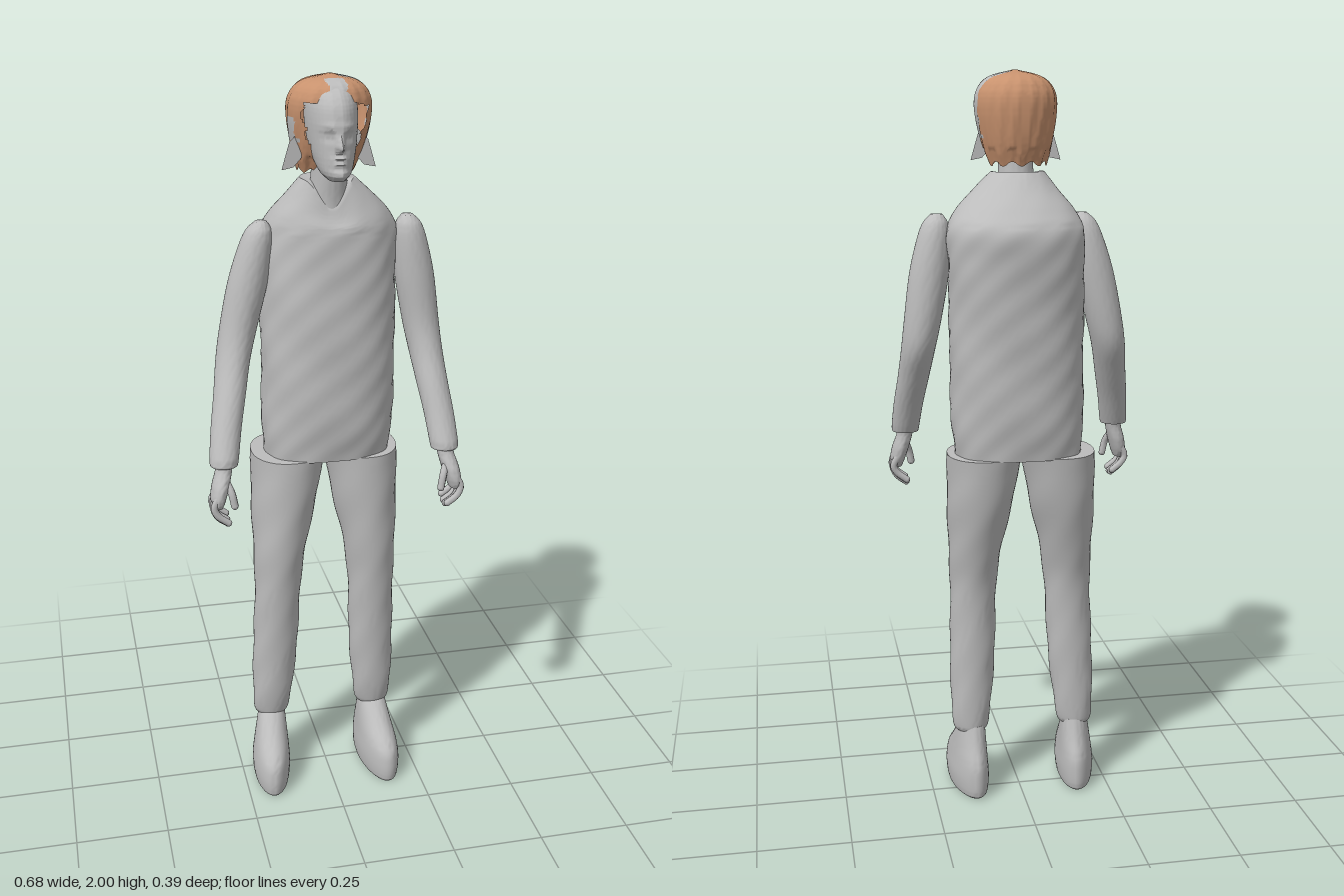
import * as THREE from 'three';
import { toCreasedNormals } from 'three/addons/utils/BufferGeometryUtils.js';

const mat = (name, color, side = THREE.FrontSide) => {
  const m = new THREE.MeshStandardMaterial({ color, side });
  m.name = name;
  return m;
};

// Loft through horizontal rings, listed bottom to top: [y, cx, cz, rx, rz, roundness]
function loft(rows, { seg = 40, steps = 5, cap = true, warp = null, classify = null, crease = 1 } = {}) {
  const centre = new THREE.CatmullRomCurve3(rows.map(r => new THREE.Vector3(r[1], r[0], r[2])), false, 'catmullrom');
  const size = new THREE.CatmullRomCurve3(rows.map(r => new THREE.Vector3(r[3], r[4], r[5] ?? 2)), false, 'catmullrom');
  const n = (rows.length - 1) * steps;
  const pts = [], index = [[], []];
  const pow = (v, e) => Math.sign(v) * Math.abs(v) ** e;
  for (let i = 0; i <= n; i++) {
    const c = centre.getPoint(i / n), s = size.getPoint(i / n);
    for (let j = 0; j < seg; j++) {
      const a = j / seg * Math.PI * 2, e = 2 / s.z;
      const p = new THREE.Vector3(c.x + s.x * pow(Math.cos(a), e), c.y, c.z + s.y * pow(Math.sin(a), e));
      if (warp) warp(p, a);
      pts.push(p);
    }
  }
  const tri = (a, b, c) => {
    const m = pts[a].clone().add(pts[b]).add(pts[c]).divideScalar(3);
    const k = classify ? classify(m) : 0;
    if (k >= 0) index[k].push(a, b, c);
  };
  for (let i = 0; i < n; i++) for (let j = 0; j < seg; j++) {
    const a = i * seg + j, b = i * seg + (j + 1) % seg;
    tri(a, a + seg, b);
    tri(b, a + seg, b + seg);
  }
  if (cap) for (const start of [0, n * seg]) {
    const mid = new THREE.Vector3();
    for (let j = 0; j < seg; j++) mid.addScaledVector(pts[start + j], 1 / seg);
    const m = pts.push(mid) - 1;
    for (let j = 0; j < seg; j++) {
      const a = start + j, b = start + (j + 1) % seg;
      start ? index[0].push(m, b, a) : index[0].push(m, a, b);
    }
  }
  let geo = new THREE.BufferGeometry().setFromPoints(pts);
  geo.setIndex([...index[0], ...index[1]]);
  geo = toCreasedNormals(geo, crease);
  if (classify) {
    geo.addGroup(0, index[0].length, 0);
    geo.addGroup(index[0].length, index[1].length, 1);
  }
  return geo;
}

export function createModel() {
  const model = new THREE.Group();
  model.name = 'standingFigure';
  const grey = mat('plainGrey', 0xbcbcbc);
  const greyThin = mat('plainGreyThin', 0xbcbcbc, THREE.DoubleSide);
  const brown = mat('hairBrown', 0xc8926e, THREE.DoubleSide);
  const add = (name, geo, material = grey, parent = model) => {
    const mesh = new THREE.Mesh(geo, material);
    mesh.name = name;
    parent.add(mesh);
    return mesh;
  };
  const bell = (v, w) => Math.exp(-((v / w) ** 2));

  // Sleeveless jacket: rumpled cloth, collar dipping at the front
  add('jacket', loft([
    [1.0, 0.007, -0.025, 0.172, 0.122, 2.3], [1.1, 0.01, -0.025, 0.178, 0.135, 2.3],
    [1.25, 0.012, -0.027, 0.178, 0.14, 2.3], [1.4, 0.013, -0.033, 0.178, 0.143, 2.3],
    [1.52, 0.015, -0.042, 0.178, 0.146, 2.3], [1.6, 0.018, -0.046, 0.177, 0.145, 2.2],
    [1.65, 0.016, -0.03, 0.155, 0.125, 2.1], [1.7, 0.011, -0.01, 0.112, 0.094, 2],
    [1.745, 0.003, 0.005, 0.07, 0.066, 2],
  ], {
    seg: 64, steps: 6,
    warp: (p, a) => {
      const d = 0.0025 * Math.sin(p.y * 47 + a * 3) * Math.sin(a * 7 + p.y * 19) * (p.y < 1.62 ? 1 : 0.3);
      p.x += Math.cos(a) * d;
      p.z += Math.sin(a) * d;
      p.y -= 0.07 * Math.max(0, Math.sin(a)) ** 5 * THREE.MathUtils.smoothstep(p.y, 1.6, 1.74);
    },
  }));

  for (const s of [1, -1]) {
    const side = s > 0 ? 'left' : 'right';

    // Trouser leg and boot
    const leg = rows => rows.map(([y, cx, ...r]) => [y, s * cx - 0.013 * Math.max(0, 1 - y), ...r]);
    add(side + 'TrouserLeg', loft(leg([
      [0.185, 0.15, -0.005, 0.036, 0.036], [0.205, 0.15, -0.003, 0.049, 0.043],
      [0.28, 0.147, 0.002, 0.057, 0.051], [0.42, 0.14, 0.006, 0.063, 0.057],
      [0.6, 0.134, 0.01, 0.064, 0.069], [0.72, 0.128, 0.003, 0.072, 0.088],
      [0.86, 0.114, -0.014, 0.089, 0.11], [1.003, 0.101, -0.025, 0.099, 0.12, 2.3],
    ]), { warp: (p, a) => { p.x += 0.0015 * Math.sin(p.y * 40 + a * 3); } }));
    add(side + 'Boot', loft(leg([
      [0, 0.155, 0.042, 0.042, 0.118], [0.012, 0.155, 0.04, 0.05, 0.128],
      [0.055, 0.155, 0.039, 0.054, 0.13], [0.1, 0.154, 0.034, 0.05, 0.121],
      [0.15, 0.152, 0.014, 0.044, 0.08], [0.205, 0.15, -0.006, 0.037, 0.04],
    ]), { warp: p => { if (p.z < 0) p.x -= s * 0.12 * -p.z; else p.x += s * 0.08 * p.z; } }));

    // Sleeve, bent forward at the elbow
    add(side + 'Sleeve', loft([
      [1.035, 0.297, 0.132, 0.036, 0.038], [1.05, 0.296, 0.128, 0.038, 0.042],
      [1.12, 0.287, 0.095, 0.04, 0.045], [1.2, 0.273, 0.055, 0.042, 0.052],
      [1.28, 0.26, 0.016, 0.045, 0.058], [1.36, 0.245, 0, 0.049, 0.055],
      [1.48, 0.222, -0.003, 0.052, 0.053], [1.57, 0.205, -0.002, 0.044, 0.047],
      [1.615, 0.197, 0, 0.033, 0.037], [1.638, 0.192, 0.002, 0.015, 0.018],
    ].map(([y, cx, ...r]) => [y, s * cx + 0.025 * (y - 1.04) / 0.6, ...r])));

    // Hand: palm, four curled fingers and a thumb
    const hand = new THREE.Group();
    hand.name = side + 'Hand';
    model.add(hand);
    add('palm', loft([
      [0.93, 0.318, 0.158, 0.012, 0.026], [0.95, 0.318, 0.155, 0.02, 0.037],
      [0.985, 0.31, 0.148, 0.023, 0.038], [1.02, 0.3, 0.138, 0.022, 0.027],
      [1.045, 0.297, 0.132, 0.022, 0.025],
    ].map(([y, cx, ...r]) => [y, s * cx, ...r]), { seg: 24 }), grey, hand);
    const finger = (name, path, r) => {
      const v = path.map(([x, y, z]) => new THREE.Vector3(s * x, y, z));
      add(name, new THREE.TubeGeometry(new THREE.CatmullRomCurve3(v), 10, r, 8), grey, hand);
      add(name + 'Tip', new THREE.SphereGeometry(r, 8, 6).translate(...v[v.length - 1].toArray()), grey, hand);
    };
    for (let i = 0; i < 4; i++) {
      const z = 0.125 + i * 0.018, drop = [0.012, 0.002, 0, 0.008][i];
      finger('finger', [[0.318, 0.965, z], [0.332, 0.935, z + 0.002], [0.322, 0.903 + drop, z + 0.003],
        [0.296, 0.882 + drop, z + 0.002]], 0.0095);
    }
    finger('thumb', [[0.298, 1.0, 0.155], [0.285, 0.97, 0.173], [0.278, 0.935, 0.178]], 0.01);

    // Loose lock beside the cheek
    const lock = new THREE.Shape([[0.07, 1.87], [0.1, 1.84], [0.112, 1.8], [0.12, 1.772], [0.09, 1.778], [0.07, 1.8]]
      .map(([x, y]) => new THREE.Vector2(s * x, y)));
    add(side + 'CheekLock', new THREE.ShapeGeometry(lock).translate(0, 0, 0.045), greyThin);
  }

  add('neck', loft([
    [1.64, 0.003, 0.015, 0.06, 0.058], [1.69, 0.003, 0.018, 0.052, 0.052],
    [1.75, 0.004, 0.025, 0.046, 0.05], [1.82, 0.005, 0.03, 0.045, 0.05],
  ]));

  // Head, with the face shaped by soft bumps and hollows
  add('head', loft([
    [1.757, 0.005, 0.108, 0.022, 0.035], [1.775, 0.005, 0.092, 0.039, 0.062],
    [1.81, 0.005, 0.067, 0.052, 0.086], [1.85, 0.005, 0.05, 0.06, 0.101],
    [1.9, 0.005, 0.04, 0.064, 0.112], [1.94, 0.005, 0.034, 0.062, 0.106],
    [1.97, 0.005, 0.03, 0.05, 0.08], [1.988, 0.005, 0.03, 0.02, 0.032],
  ], {
    seg: 88, steps: 8,
    warp: (p, a) => {
      if (Math.sin(a) < 0.3) return;
      const x = Math.abs(p.x - 0.005), y = p.y;
      p.z += 0.031 * bell(x, 0.009) * bell(y - 1.84, y > 1.84 ? 0.026 : 0.009) // nose
        + 0.01 * bell(x, 0.02) * (bell(y - 1.815, 0.005) + bell(y - 1.802, 0.005)) // lips
        + 0.012 * bell(x, 0.02) * bell(y - 1.774, 0.012) // chin
        + 0.006 * bell(x - 0.022, 0.022) * bell(y - 1.886, 0.009) // brow
        - 0.01 * bell(x - 0.025, 0.013) * bell(y - 1.866, 0.011) // eye socket
        + 0.006 * bell(x - 0.025, 0.008) * bell(y - 1.866, 0.005); // eyelid
    },
  }));

  // Hair shell, open at the face, with bare patches at the parting and sides
  add('hair', loft([
    [1.765, 0.003, -0.005, 0.073, 0.056], [1.82, 0.005, 0.003, 0.092, 0.084],
    [1.9, 0.007, 0.01, 0.106, 0.104], [1.95, 0.007, 0.014, 0.1, 0.102],
    [1.983, 0.007, 0.018, 0.068, 0.075], [2.0, 0.007, 0.02, 0.004, 0.004],
  ], {
    seg: 88, steps: 8, cap: false,
    warp: (p, a) => {
      const d = 0.0015 * Math.sin(a * 17 + p.y * 30);
      p.x += Math.cos(a) * d;
      p.z += Math.sin(a) * d;
      if (p.y < 1.8) p.y += 0.006 * Math.sin(a * 9);
    },
    classify: ({ x, y, z }) => {
      const ragged = 0.006 * Math.sin(y * 130 + x * 60);
      if (z > 0.078 + ragged && y < 1.955 - 0.25 * Math.abs(x) + ragged) return -1;
      if (Math.abs(x - 0.007) < 0.023 + ragged && z > 0.06) return 1;
      if (x > 0.025 && z > -0.015 + ragged && z < 0.04 && y > 1.83) return 1;
      if (x < -0.03 && z > 0.005 && z < 0.05 + ragged && y > 1.84 && y < 1.9) return 1;
      return 0;
    },
  }), [brown, greyThin]);

  return model;
}
